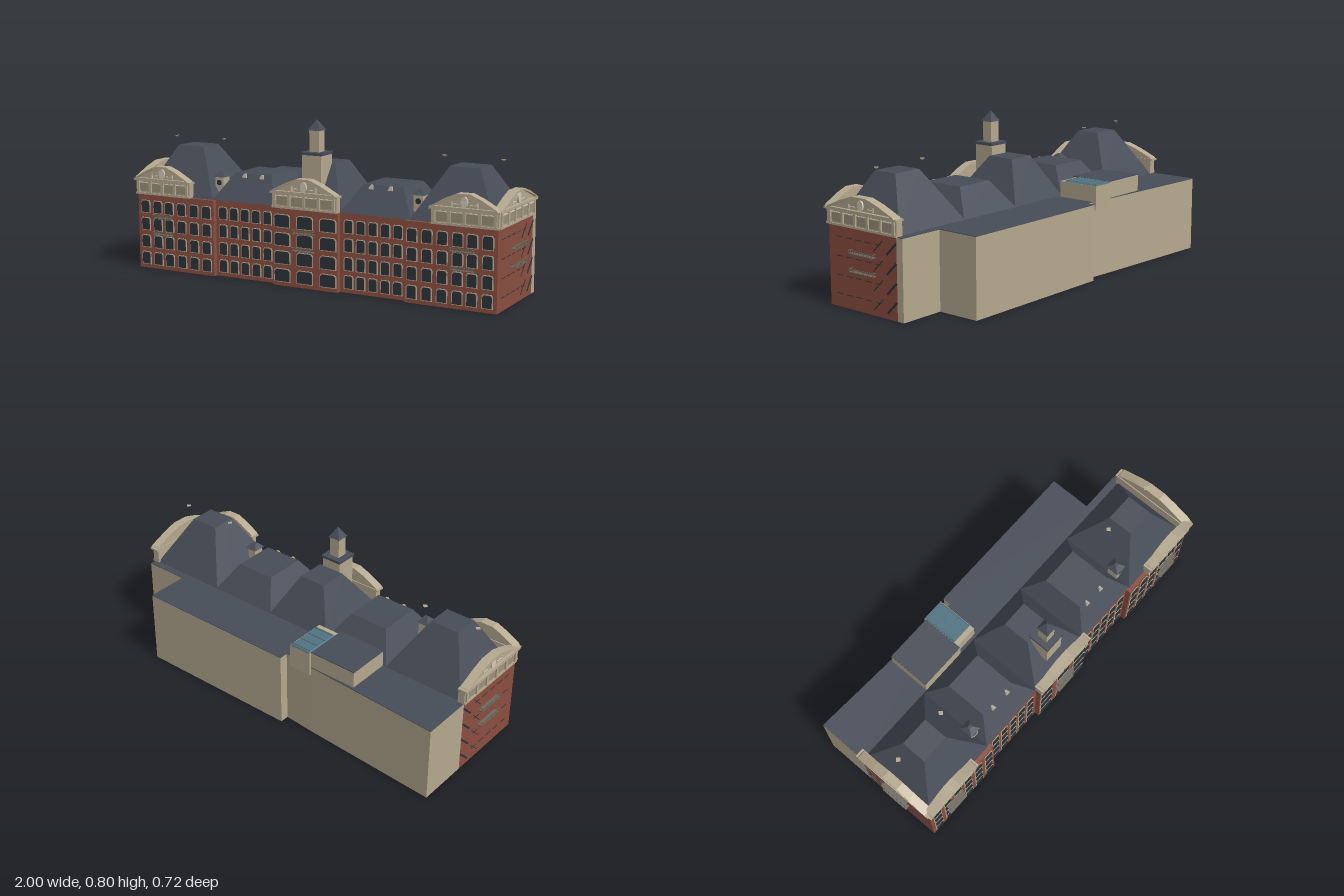
import * as THREE from 'three';

const mat = (color, side = THREE.FrontSide) =>
  new THREE.MeshStandardMaterial({ color, flatShading: true, side });
const BRICK = mat(0x8b4e40), STONE = mat(0xb5a98f), PALE = mat(0xd3cbb8), SHADE = mat(0x9b9079);
const SLATE = mat(0x474d58), PANE = mat(0x2b3338), GLASS = mat(0x4d7485), IRON = mat(0x6d685d);

function add(parent, name, geo, material, x = 0, y = 0, z = 0) {
  const m = new THREE.Mesh(geo, material);
  m.name = name;
  m.position.set(x, y, z);
  parent.add(m);
  return m;
}

// Box given by its limits
function block(parent, name, material, x0, x1, y0, y1, z0, z1) {
  return add(parent, name, new THREE.BoxGeometry(x1 - x0, y1 - y0, z1 - z0), material,
    (x0 + x1) / 2, (y0 + y1) / 2, (z0 + z1) / 2);
}

// Hipped body between a base and a top rectangle, each [x0, x1, z0, z1]
function hip(parent, name, material, base, top, y0, y1) {
  const g = new THREE.BoxGeometry(1, 1, 1), p = g.attributes.position;
  for (let i = 0; i < p.count; i++) {
    const up = p.getY(i) > 0, r = up ? top : base;
    p.setXYZ(i, r[p.getX(i) > 0 ? 1 : 0], up ? y1 : y0, r[p.getZ(i) > 0 ? 3 : 2]);
  }
  g.computeVertexNormals();
  return add(parent, name, g, material);
}

// Segmental gable outline
function gablePath(w, h, base = 0, PathType = THREE.Shape) {
  const p = new PathType();
  p.moveTo(-w, base);
  p.lineTo(w, base);
  [[0.96, 0.12], [0.52, 0.66], [0.2, 0.95], [-0.2, 0.95], [-0.52, 0.66], [-0.96, 0.12]]
    .forEach(([a, b]) => p.lineTo(w * a, base + h * b));
  p.closePath();
  return p;
}
const extrude = (shape, depth) => new THREE.ExtrudeGeometry(shape, { depth, bevelEnabled: false });

// Stone attic storey with panels, cornice and gable; faces +z, stands on its origin
function parapet(parent, name, width, panels) {
  const g = new THREE.Group(), w = width / 2;
  g.name = name;
  parent.add(g);
  block(g, 'atticBand', STONE, -w, w, 0, 0.075, -0.035, 0);
  block(g, 'sillMoulding', STONE, -w, w, 0, 0.01, 0, 0.006);
  block(g, 'cornice', STONE, -w - 0.008, w + 0.008, 0.07, 0.08, -0.035, 0.012);
  const step = (width - 0.03) / panels;
  for (let i = 0; i < panels; i++) {
    const x = -w + 0.015 + step * (i + 0.5);
    block(g, 'panel', SHADE, x - step * 0.38, x + step * 0.38, 0.016, 0.06, -0.002, 0.002);
    block(g, 'lintel', PALE, x - step * 0.38, x + step * 0.38, 0.058, 0.062, 0, 0.005);
  }
  for (let i = 0; i <= panels; i++) {
    const x = -w + 0.015 + step * i;
    block(g, 'pilaster', STONE, x - 0.007, x + 0.007, 0.01, 0.07, 0, 0.008);
  }
  add(g, 'gable', extrude(gablePath(w * 0.97, 0.07), 0.03), STONE, 0, 0.08, -0.03);
  const rim = gablePath(w, 0.074);
  rim.holes.push(gablePath(w * 0.88, 0.056, 0.007, THREE.Path));
  add(g, 'gableRim', extrude(rim, 0.045), STONE, 0, 0.078, -0.03);
  const disc = add(g, 'medallion', new THREE.CylinderGeometry(1, 1, 0.012, 16), PALE, 0, 0.11, 0.003);
  disc.rotation.x = Math.PI / 2;
  disc.scale.set(0.017, 1, 0.025);
  for (const s of [-1, 1]) {
    const bar = s * w * 0.27;
    block(g, 'gableBar', PALE, bar - 0.018, bar + 0.018, 0.097, 0.1, 0, 0.004);
    block(g, 'gableBarEnd', PALE, bar + s * 0.018 - 0.002, bar + s * 0.018 + 0.002, 0.088, 0.109, 0, 0.005);
  }
  return g;
}

// Railed balcony; faces +z
function balcony(parent, width) {
  const g = new THREE.Group(), w = width / 2;
  g.name = 'balcony';
  parent.add(g);
  block(g, 'balconyFloor', IRON, -w, w, 0, 0.004, 0, 0.025);
  block(g, 'handrail', IRON, -w, w, 0.016, 0.019, 0.022, 0.025);
  for (let i = 0; i <= 14; i++) {
    const x = -w + (width * i) / 14;
    block(g, 'baluster', IRON, x - 0.001, x + 0.001, 0, 0.018, 0.0225, 0.0245);
  }
  for (const s of [-w, w]) block(g, 'sideRail', IRON, s - 0.0015, s + 0.0015, 0.016, 0.019, 0, 0.025);
  return g;
}

const ROWS = [0.052, 0.139, 0.228, 0.317];

// Window with chamfered top corners and a pale surround
function windowAt(parent, x, y, z, w, h) {
  const shape = (a, b) => new THREE.Shape([[-a, -b], [a, -b], [a, b * 0.7], [a * 0.75, b], [-a * 0.75, b], [-a, b * 0.7]]
    .map(([u, v]) => new THREE.Vector2(u, v)));
  add(parent, 'windowSurround', extrude(shape(w / 2 + 0.005, h / 2 + 0.004), 0.004), STONE, x, y, z - 0.001);
  add(parent, 'windowPane', extrude(shape(w / 2, h / 2), 0.007), PANE, x, y, z - 0.001);
}

export function createModel() {
  const model = new THREE.Group();
  model.name = 'building';

  // Brick front range with projecting centre and ends
  block(model, 'brickRange', BRICK, -0.975, 0.975, 0, 0.38, -0.1, 0.305);
  block(model, 'centreBay', BRICK, -0.175, 0.175, 0, 0.38, 0.3, 0.33);
  for (const s of [-1, 1])
    block(model, 'endBay', BRICK, s < 0 ? -0.975 : 0.52, s < 0 ? -0.52 : 0.975, 0, 0.38, 0.3, 0.33);

  // Rear range and its flat roof
  const plan = new THREE.Shape([[0.975, -0.1], [-0.975, -0.1], [-0.975, -0.36], [-0.27, -0.322], [-0.11, -0.31],
    [-0.11, -0.355], [0.745, -0.355], [0.745, -0.137], [0.975, -0.137]].map(([x, z]) => new THREE.Vector2(x, -z)));
  add(model, 'rearRange', extrude(plan, 0.378), STONE).rotation.x = -Math.PI / 2;
  add(model, 'rearRoof', extrude(plan, 0.003), SLATE, 0, 0.378, 0).rotation.x = -Math.PI / 2;

  // Raised plant room and rooflight
  block(model, 'plantRoom', STONE, -0.52, -0.27, 0.38, 0.462, -0.322, -0.1);
  block(model, 'plantRoomRoof', SLATE, -0.52, -0.27, 0.462, 0.466, -0.322, -0.1);
  block(model, 'rooflightBase', STONE, -0.27, -0.15, 0.34, 0.46, -0.333, -0.115);
  hip(model, 'rooflightGlass', GLASS, [-0.268, -0.152, -0.333, -0.14], [-0.262, -0.158, -0.33, -0.145], 0.46, 0.467);
  for (let i = 0; i < 4; i++) {
    const z = -0.32 + i * 0.055;
    block(model, 'glazingBar', IRON, -0.262, -0.158, 0.466, 0.47, z - 0.002, z + 0.002);
  }

  // Slate roofs
  hip(model, 'centreRoof', SLATE, [-0.18, 0.18, -0.1, 0.305], [-0.07, 0.07, 0.015, 0.16], 0.38, 0.585);
  for (const s of [-1, 1]) {
    const r = (a, b, z0, z1) => (s > 0 ? [a, b, z0, z1] : [-b, -a, z0, z1]);
    hip(model, 'endRoof', SLATE, r(0.535, 0.955, -0.1, 0.31), r(0.675, 0.825, 0.05, 0.18), 0.38, 0.62);
    hip(model, 'wingRoof', SLATE, r(0.175, 0.54, -0.1, 0.305), r(0.255, 0.46, 0.0, 0.215), 0.38, 0.51);
    // Small vents on the wing roof
    for (const x of [0.3, 0.4]) hip(model, 'roofVent', STONE, r(x - 0.013, x + 0.013, 0.205, 0.235),
      r(x - 0.005, x + 0.005, 0.205, 0.228), 0.49, 0.509);
    // Dormer in the valley
    block(model, 'dormer', STONE, s * 0.545 - 0.024, s * 0.545 + 0.024, 0.4, 0.485, 0.18, 0.235);
    hip(model, 'dormerCap', SLATE, r(0.513, 0.577, 0.172, 0.243), r(0.535, 0.555, 0.2, 0.215), 0.483, 0.51);
    const oculus = add(model, 'dormerWindow', new THREE.CylinderGeometry(0.014, 0.014, 0.006, 10), PANE, s * 0.545, 0.455, 0.235);
    oculus.rotation.x = Math.PI / 2;
    // Finials above the end roofs
    for (const x of [0.61, 0.9])
      add(model, 'finial', new THREE.CylinderGeometry(0.014, 0.003, 0.008, 4), STONE, s * x, 0.651, 0.093);
  }

  // Attic storeys on the front and the two ends
  parapet(model, 'centreParapet', 0.35, 4).position.set(0, 0.38, 0.337);
  for (const s of [-1, 1]) {
    parapet(model, 'endParapet', 0.325, 4).position.set(s * 0.818, 0.38, 0.337);
    const side = parapet(model, 'sideParapet', 0.436, 5);
    side.position.set(s * 0.98, 0.38, 0.11);
    side.rotation.y = (s * Math.PI) / 2;
  }

  // Clock tower
  block(model, 'towerBase', STONE, -0.052, 0.052, 0.48, 0.632, 0.16, 0.265);
  block(model, 'towerLedge', SLATE, -0.057, 0.057, 0.632, 0.645, 0.156, 0.27);
  block(model, 'towerShaft', STONE, -0.027, 0.027, 0.645, 0.747, 0.185, 0.238);
  hip(model, 'towerSpire', SLATE, [-0.033, 0.033, 0.179, 0.244], [-0.001, 0.001, 0.21, 0.213], 0.747, 0.798);

  // Front windows
  for (const y of ROWS) {
    for (const x of [-0.125, 0, 0.125]) windowAt(model, x, y, 0.33, 0.08, 0.058);
    for (const s of [-1, 1]) {
      for (const x of [0.56, 0.635, 0.71, 0.785, 0.855, 0.93]) windowAt(model, s * x, y, 0.33, 0.045, 0.058);
      for (let i = 0; i < 5; i++) windowAt(model, s * (0.222 + i * 0.064), y, 0.305, 0.04, 0.058);
    }
  }

  // End-wall slits and slanted strips
  for (const s of [-1, 1]) for (const y of ROWS) {
    const x = s * 0.975;
    for (let i = 0; i < 5; i++)
      block(model, 'wallSlit', PANE, x - 0.002, x + 0.002, y + 0.01, y + 0.013, -0.005 + i * 0.062, 0.035 + i * 0.062);
    for (const [z, t] of [[-0.07, 0.009], [0.015, 0.003]])
      add(model, 'slantedStrip', new THREE.BoxGeometry(0.006, t, 0.084), PANE, x, y + 0.005, z).rotation.x = Math.PI / 4;
  }

  // Balconies on front and ends
  for (const y of [0.18, 0.265]) {
    for (const x of [-0.815, 0, 0.815]) balcony(model, 0.11).position.set(x, y, 0.335);
    for (const s of [-1, 1]) {
      const b = balcony(model, 0.15);
      b.position.set(s * 0.975, y, 0.105);
      b.rotation.y = (s * Math.PI) / 2;
    }
  }
  return model;
}
